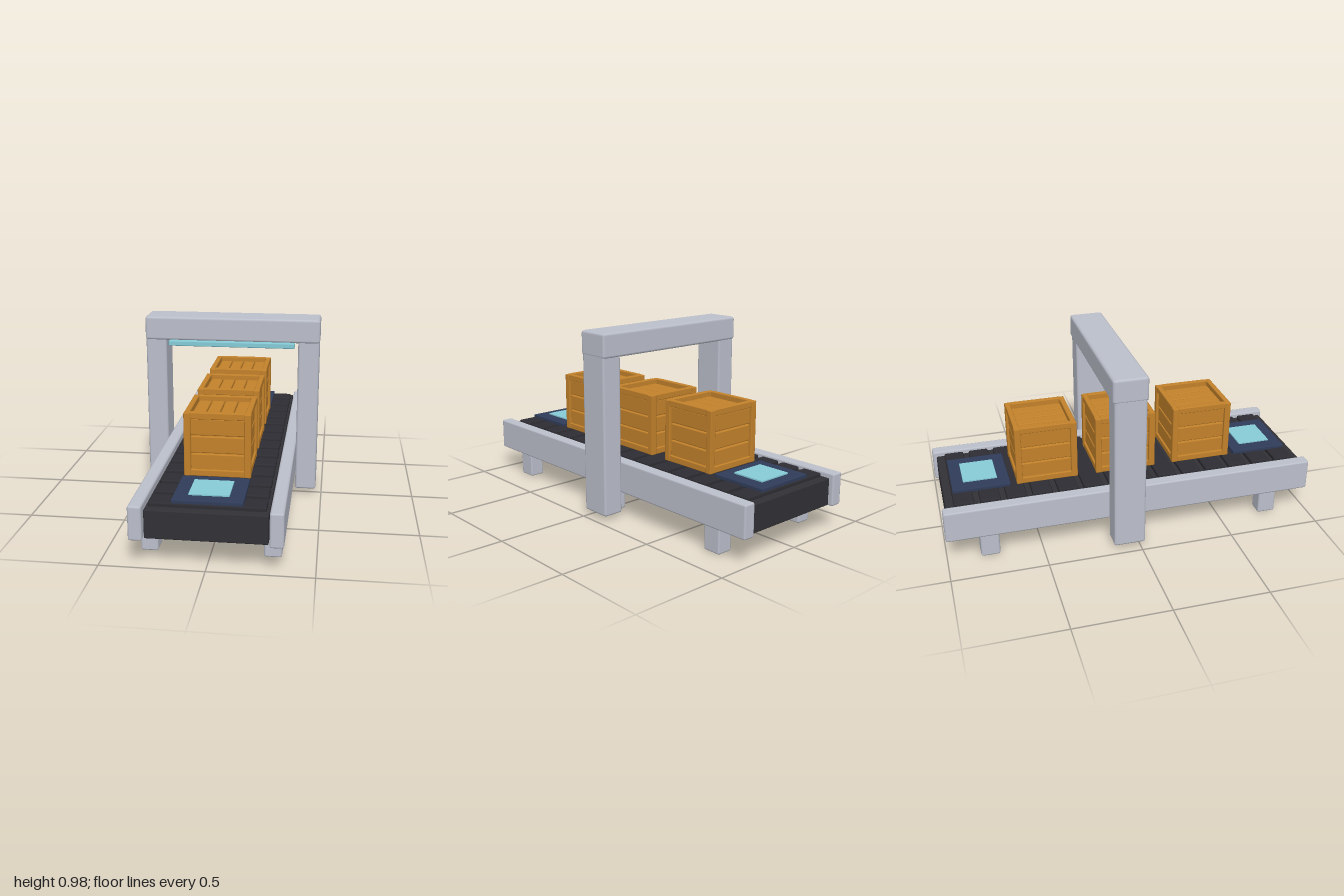
import * as THREE from 'three';
import { RoundedBoxGeometry } from 'three/addons/geometries/RoundedBoxGeometry.js';

const paint = (name, color) => {
  const m = new THREE.MeshStandardMaterial({ color });
  m.name = name;
  return m;
};

export function createModel() {
  const steel = paint('pale steel', 0xbcc0cc);
  const rubber = paint('belt rubber', 0x313136);
  const slatRubber = paint('slat rubber', 0x2d2d33);
  const wood = paint('crate wood', 0xc3822b);
  const navy = paint('pad navy', 0x303c5a);
  const glow = paint('pale cyan', 0x86ccd8);

  const model = new THREE.Group();
  model.name = 'conveyorScanner';

  // Softly chamfered box given by its limits on each axis
  function block(parent, name, mat, [x0, x1], [y0, y1], [z0, z1], r = 0.01) {
    const geo = new RoundedBoxGeometry(x1 - x0, y1 - y0, z1 - z0, 1, r);
    const mesh = new THREE.Mesh(geo, mat);
    mesh.name = name;
    mesh.position.set((x0 + x1) / 2, (y0 + y1) / 2, (z0 + z1) / 2);
    parent.add(mesh);
    return mesh;
  }
  const side = (s, a, b) => (s > 0 ? [a, b] : [-b, -a]);

  // Conveyor bed and raised slats
  block(model, 'belt', rubber, [-0.285, 0.285], [0.138, 0.28], [-0.98, 0.98], 0.006);
  for (let i = 0; i < 14; i++) {
    const z = (i - 6.5) * 0.136;
    block(model, 'beltSlat', slatRubber, [-0.272, 0.272], [0.265, 0.3], [z - 0.053, z + 0.053], 0.008);
  }

  // Side rails, legs and gantry pillars
  for (const s of [-1, 1]) {
    block(model, 'sideRail', steel, side(s, 0.29, 0.356), [0.132, 0.302], [-1, 1]);
    for (const z of [-0.775, 0, 0.775]) {
      block(model, 'leg', steel, side(s, 0.252, 0.337), [0, 0.16], [z - 0.05, z + 0.05]);
    }
    block(model, 'gantryPillar', steel, side(s, 0.355, 0.468), [0.025, 0.87], [-0.144, 0.025], 0.012);
  }

  // Gantry beam with its scanning light
  block(model, 'gantryBeam', steel, [-0.47, 0.47], [0.852, 0.98], [-0.152, 0.032], 0.014);
  block(model, 'scannerLight', glow, [-0.338, 0.338], [0.828, 0.856], [0.015, 0.057], 0.005);

  // Pads at both ends
  for (const z of [-0.78, 0.78]) {
    block(model, 'pad', navy, [-0.166, 0.166], [0.294, 0.316], [z - 0.152, z + 0.152], 0.004);
    block(model, 'padLight', glow, [-0.096, 0.096], [0.314, 0.324], [z - 0.09, z + 0.09], 0.002);
  }

  // Crate: inner boards on every side held by a frame of battens
  function crate(z) {
    const g = new THREE.Group();
    g.name = 'crate';
    g.position.set(0, 0.3, z);
    const h = 0.165, w = 0.034, top = 0.326, lid = 0.3;
    block(g, 'crateCore', wood, [-0.138, 0.138], [0.004, 0.285], [-0.138, 0.138], 0.004);
    for (const s of [-1, 1]) {
      for (const t of [-1, 1]) {
        block(g, 'cornerPost', wood, side(s, h - w, h), [0, top - 0.002], side(t, h - w, h), 0.005);
      }
      for (const y of [0, top - w]) {
        block(g, 'endBatten', wood, [-0.135, 0.135], [y, y + w], side(s, h - 0.03, h - 0.002), 0.005);
        block(g, 'sideBatten', wood, side(s, h - 0.03, h - 0.002), [y, y + w], [-0.135, 0.135], 0.005);
      }
      // Three horizontal boards per wall
      for (let i = 0; i < 3; i++) {
        const y = 0.027 + i * 0.09;
        block(g, 'endBoard', wood, [-0.134, 0.134], [y, y + 0.085], side(s, 0.128, 0.152), 0.006);
        block(g, 'sideBoard', wood, side(s, 0.128, 0.152), [y, y + 0.085], [-0.134, 0.134], 0.006);
      }
    }
    // Four lid boards
    for (let i = 0; i < 4; i++) {
      const x = -0.136 + i * 0.068;
      block(g, 'lidBoard', wood, [x + 0.002, x + 0.066], [lid - 0.022, lid], [-0.138, 0.138], 0.006);
    }
    model.add(g);
  }
  [-0.43, 0, 0.43].forEach(crate);

  return model;
}
